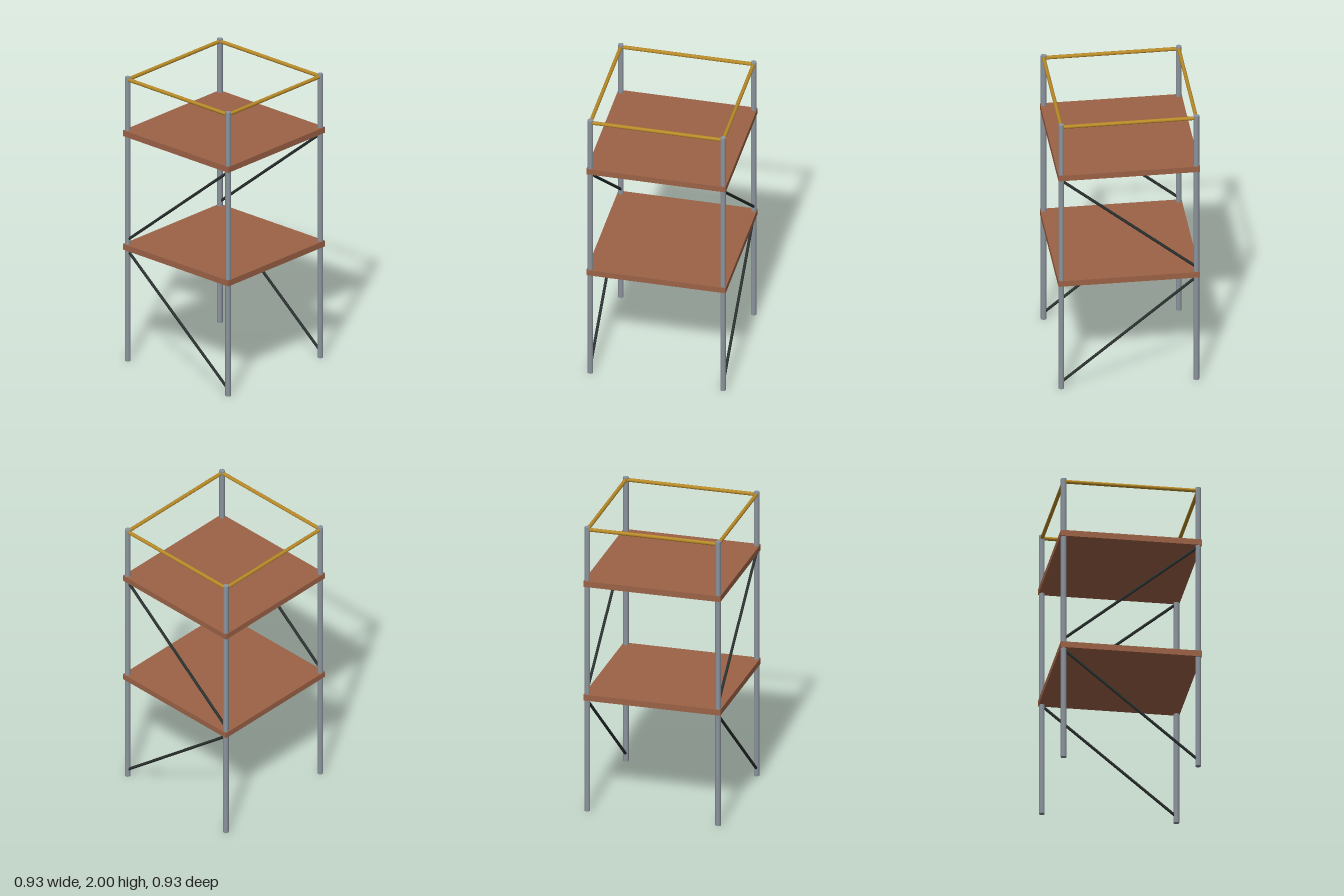
import * as THREE from 'three';

const P = 0.444; // post offset from the centre

function material(name, color) {
  const m = new THREE.MeshStandardMaterial({ color });
  m.name = name;
  return m;
}

// Round bar between two points
function bar(name, a, b, radius, sides, mat) {
  const from = new THREE.Vector3(...a), to = new THREE.Vector3(...b);
  const dir = to.clone().sub(from);
  const mesh = new THREE.Mesh(new THREE.CylinderGeometry(radius, radius, dir.length(), sides), mat);
  mesh.position.copy(from).add(to).multiplyScalar(0.5);
  mesh.quaternion.setFromUnitVectors(new THREE.Vector3(0, 1, 0), dir.normalize());
  mesh.name = name;
  return mesh;
}

export function createModel() {
  const steel = material('steel', 0x8b939b);
  const wood = material('wood', 0x9c6246);
  const yellow = material('railYellow', 0xb88a28);
  const dark = material('braceDark', 0x2b3130);
  const tower = new THREE.Group();
  tower.name = 'scaffoldTower';

  // Corner posts
  for (const x of [-P, P])
    for (const z of [-P, P])
      tower.add(bar('post', [x, 0, z], [x, 2, z], 0.0187, 16, steel));

  // Plank decks
  for (const y of [0.802, 1.603]) {
    const deck = new THREE.Mesh(new THREE.BoxGeometry(0.931, 0.041, 0.931), wood);
    deck.position.y = y;
    deck.name = 'deck';
    tower.add(deck);
  }

  for (const s of [-P, P]) {
    // Guard rails around the top
    tower.add(bar('guardRail', [-P, 1.981, s], [P, 1.981, s], 0.0125, 12, yellow));
    tower.add(bar('guardRail', [s, 1.981, -P], [s, 1.981, P], 0.0125, 12, yellow));
    // Diagonal braces on the front and back
    tower.add(bar('lowerBrace', [-P, 0.776, s], [P, 0.046, s], 0.0095, 10, dark));
    tower.add(bar('upperBrace', [-P, 0.851, s], [P, 1.576, s], 0.0095, 10, dark));
  }
  return tower;
}
